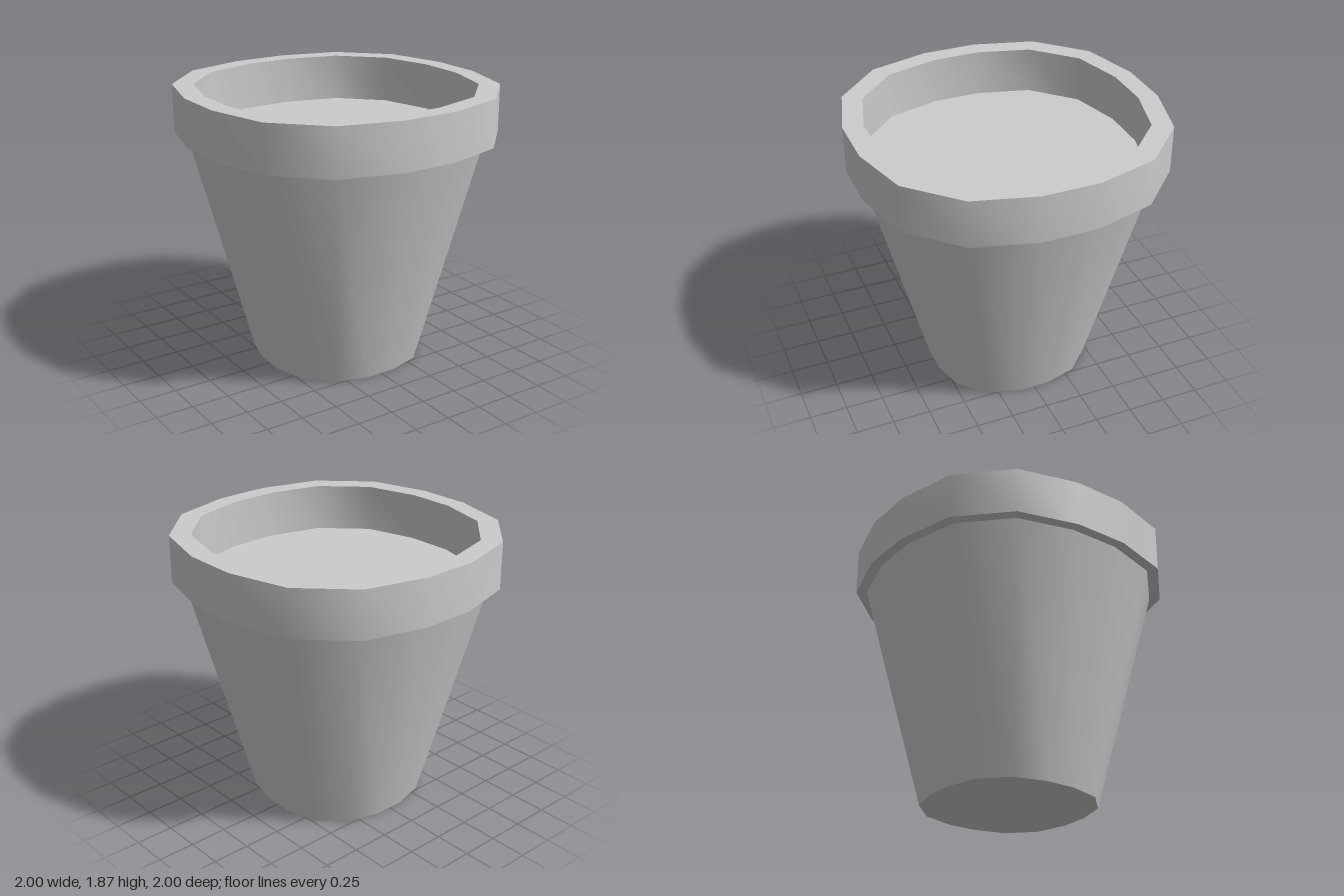
import * as THREE from 'three';
import { toCreasedNormals } from 'three/addons/utils/BufferGeometryUtils.js';

const SIDES = 16;

// Quarter outline (x, z) of the slightly squared 16-sided ring, at scale 1
const QUARTER = [[0.185, 1], [0.588, 0.89], [0.89, 0.588], [1, 0.185]];

function outlinePoint(i) {
  const [x, z] = QUARTER[i % 4];
  const turn = Math.floor((i % SIDES) / 4) * Math.PI / 2;
  const c = Math.round(Math.cos(turn)), s = Math.round(Math.sin(turn));
  return [x * c + z * s, z * c - x * s];
}

// Turn a (scale, height) profile around the squared outline
function ringPart(name, profile, material) {
  const points = profile.map(([r, y]) => new THREE.Vector2(r, y));
  const geometry = new THREE.LatheGeometry(points, SIDES);
  const position = geometry.attributes.position;
  for (let i = 0; i <= SIDES; i++) {
    const [ux, uz] = outlinePoint(i);
    profile.forEach(([r, y], j) => {
      position.setXYZ(i * profile.length + j, r * ux, y, r * uz);
    });
  }
  const mesh = new THREE.Mesh(toCreasedNormals(geometry, Math.PI / 4), material);
  mesh.name = name;
  return mesh;
}

export function createModel() {
  const group = new THREE.Group();
  group.name = 'flowerPot';
  const material = new THREE.MeshStandardMaterial({ color: 0xcccccc });

  // Tapered body with a closed base
  group.add(ringPart('body', [[0, 0], [0.54, 0], [0.93, 1.55]], material));

  // Thick collar: underside, outer wall, top and inner wall
  group.add(ringPart('rim', [[0.93, 1.55], [1, 1.55], [1, 1.865], [0.87, 1.865], [0.87, 1.55]], material));

  // Flat soil filling the pot up to the foot of the rim
  group.add(ringPart('soil', [[0.87, 1.55], [0, 1.55]], material));

  return group;
}
